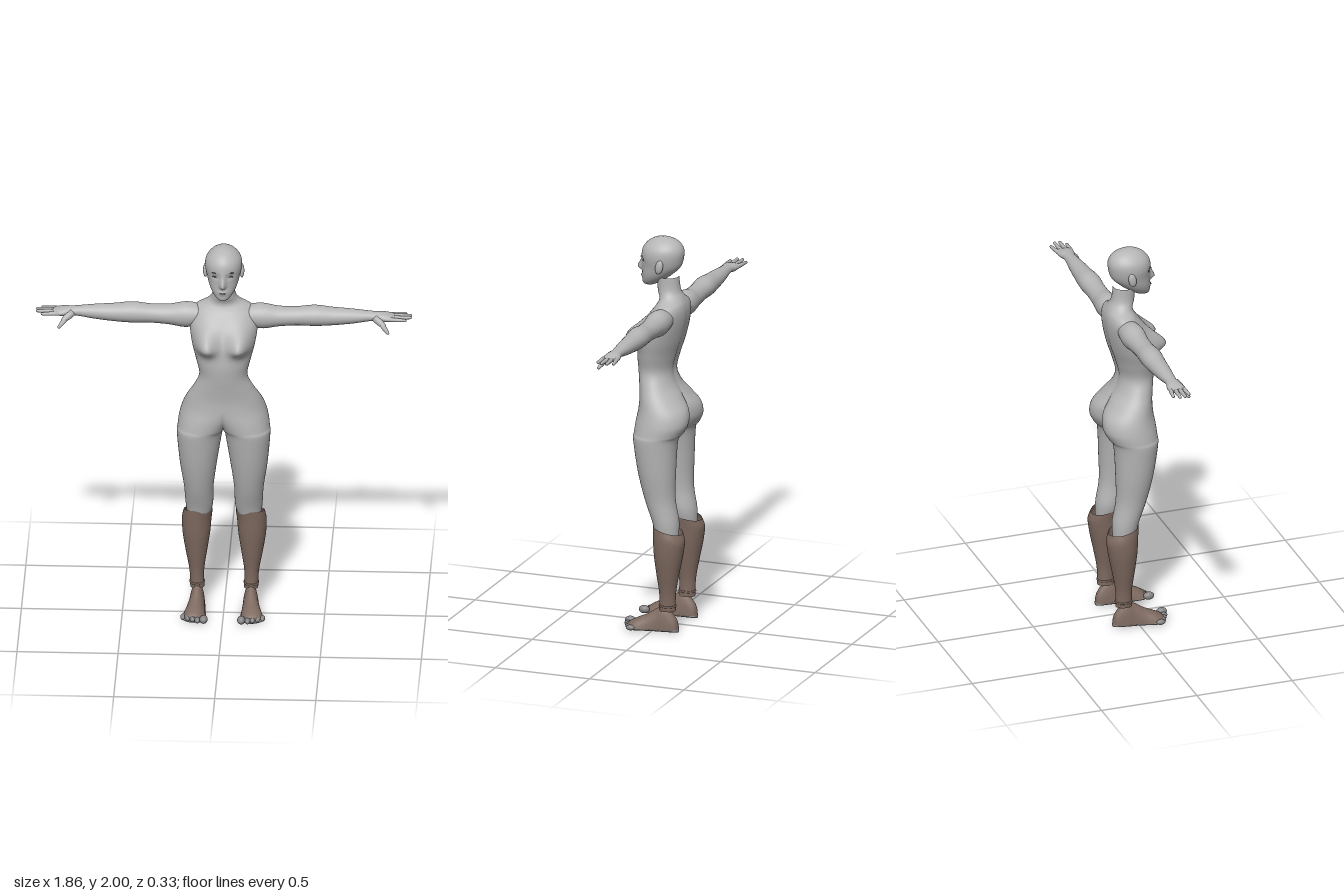
import * as THREE from 'three';
import { mergeGeometries, mergeVertices } from 'three/addons/utils/BufferGeometryUtils.js';

const mat = (name, color) => Object.assign(new THREE.MeshStandardMaterial({ color }), { name });

// Smooth in-between rows for a short list of cross-sections
function refine(rows, n) {
  const out = [];
  for (let i = 0; i < rows.length - 1; i++) {
    const [a, b, c, d] = [rows[Math.max(i - 1, 0)], rows[i], rows[i + 1], rows[Math.min(i + 2, rows.length - 1)]];
    for (let k = 0; k < n; k++) {
      const t = k / n;
      out.push(b.map((v, j) => v + 0.5 * t * (c[j] - a[j] + t * (2 * a[j] - 5 * v + 4 * c[j] - d[j]
        + t * (3 * (v - c[j]) + d[j] - a[j])))));
    }
  }
  out.push(rows[rows.length - 1]);
  return out;
}

// Skin over closed rings of points; walls lying on the middle plane are left out
function skin(rings, capped) {
  const m = rings[0].length, pos = rings.flat(2), index = [];
  const tri = (...t) => { if (t.some(i => Math.abs(pos[i * 3]) > 1e-5)) index.push(...t); };
  for (let i = 0; i < rings.length - 1; i++) {
    for (let j = 0; j < m; j++) {
      const a = i * m + j, b = i * m + (j + 1) % m;
      tri(a, b, b + m);
      tri(a, b + m, a + m);
    }
  }
  if (capped) {
    const last = (rings.length - 1) * m;
    for (let j = 1; j < m - 1; j++) {
      tri(0, j + 1, j);
      tri(last, last + j, last + j + 1);
    }
  }
  const g = new THREE.BufferGeometry();
  g.setAttribute('position', new THREE.Float32BufferAttribute(pos, 3));
  g.setIndex(index);
  g.computeVertexNormals();
  return g;
}

// Half-body loft. Row: y, outer x, inner x, front z, back z,
// front and back apex x, and how full the front and back are at the middle
function halfLoft(rows, n, q) {
  return skin(refine(rows, n).map(([y, xo, xi, zf, zb, cf, cb, kf, kb]) => {
    const ring = [], zm = (zf + zb) / 2;
    const zif = zm + (zf - zm) * THREE.MathUtils.clamp(kf, 0, 1);
    const zib = zm + (zb - zm) * THREE.MathUtils.clamp(kb, 0, 1);
    const add = (apex, side, zApex, zSide, k) => {
      const t = k / q * Math.PI / 2, x = apex + (side - apex) * Math.sin(t);
      ring.push([x < 0.0015 ? 0 : x, y, zSide + (zApex - zSide) * Math.cos(t)]);
    };
    for (let k = 0; k < q; k++) add(cf, xo, zf, zm, k);
    for (let k = q; k > 0; k--) add(cb, xo, zb, zm, k);
    for (let k = 0; k <= q; k++) add(cb, xi, zb, zib, k);
    for (let k = q; k > 0; k--) add(cf, xi, zf, zif, k);
    return ring;
  }), false);
}
const leg = (y, xo, xi, zf, zb) => [y, xo, xi, zf, zb, (xo + xi) / 2, (xo + xi) / 2, 0, 0];
const hip = (y, xo, zf, zb, ...lobes) => [y, xo, 0, zf, zb, ...lobes];
const trunk = (y, xo, zf, zb) => hip(y, xo, zf, zb, 0, 0, 1, 1);

function mirrored(g) {
  const m = g.clone().scale(-1, 1, 1), ix = m.index.array;
  for (let i = 0; i < ix.length; i += 3) [ix[i], ix[i + 1]] = [ix[i + 1], ix[i]];
  return m;
}

// Join a half with its mirror image into one seamless surface
function whole(half) {
  half.deleteAttribute('normal');
  const g = mergeVertices(mergeGeometries([half, mirrored(half)]), 1e-4);
  g.computeVertexNormals();
  return g;
}

// Push the front (side 1) or back (side -1) in or out with a soft round bump
function bump(g, side, cx, cy, sx, up, down, amount) {
  const p = g.attributes.position;
  for (let i = 0; i < p.count; i++) {
    const dx = (p.getX(i) - cx) / sx, dy = p.getY(i) - cy, z = p.getZ(i);
    const w = THREE.MathUtils.clamp(z * side / 0.06, 0, 1);
    p.setZ(i, z + amount * w * Math.exp(-dx * dx - (dy / (dy > 0 ? up : down)) ** 2));
  }
}

const ellipsoid = (x, y, z, rx, ry, rz, tilt = 0) =>
  new THREE.SphereGeometry(1, 20, 14).scale(rx, ry, rz).rotateZ(tilt).translate(x, y, z);

// Tapered round-ended finger between two points
function digit(from, to, r0, r1) {
  const a = new THREE.Vector3(...from), d = new THREE.Vector3(...to).sub(a), len = d.length();
  const pts = [[0, 0], [r0, 0], [r0 * 0.95, len * 0.4], [r1, len - r1], [r1 * 0.7, len - r1 * 0.3], [0, len]];
  const g = new THREE.LatheGeometry(pts.map(p => new THREE.Vector2(...p)), 12);
  const q = new THREE.Quaternion().setFromUnitVectors(new THREE.Vector3(0, 1, 0), d.normalize());
  return g.applyQuaternion(q).translate(a.x, a.y, a.z);
}

// Oval loft. Row: position along the part, centre, two radii
const oval = (rows, place) => skin(refine(rows, 6).map(([t, c, r1, r2]) =>
  Array.from({ length: 32 }, (_, j) => {
    const a = j / 32 * Math.PI * 2;
    return place(t, c + r1 * Math.cos(a), r2 * Math.sin(a));
  })), true);

export function createModel() {
  const model = new THREE.Group();
  model.name = 'figure';
  const grey = mat('body grey', 0xb6b6b6), brown = mat('boot brown', 0x7d695f);
  const soleGrey = mat('sole grey', 0x858585), dark = mat('feature dark grey', 0x555555);
  brown.side = THREE.DoubleSide;
  const add = (name, g, m) => {
    const mesh = new THREE.Mesh(g, m);
    mesh.name = name;
    model.add(mesh);
  };
  const pair = (name, g, m) => {
    add(name + 'Left', g, m);
    add(name + 'Right', mirrored(g), m);
  };

  // Legs, torso and neck in one surface
  const body = halfLoft([
    leg(0.46, 0.175, 0.085, -0.02, -0.125),
    leg(0.56, 0.189, 0.056, 0.005, -0.128),
    leg(0.68, 0.197, 0.051, 0.046, -0.109),
    leg(0.82, 0.217, 0.033, 0.08, -0.11),
    leg(0.98, 0.231, 0.008, 0.105, -0.118),
    hip(1.02, 0.228, 0.107, -0.142, 0.1, 0.11, 0.45, 0.2),
    hip(1.07, 0.221, 0.107, -0.165, 0.07, 0.1, 0.85, 0.45),
    hip(1.13, 0.205, 0.106, -0.158, 0.02, 0.085, 1, 0.65),
    hip(1.19, 0.18, 0.106, -0.115, 0, 0.05, 1, 0.88),
    trunk(1.25, 0.147, 0.112, -0.078),
    trunk(1.32, 0.119, 0.121, -0.062),
    trunk(1.4, 0.135, 0.125, -0.08),
    trunk(1.48, 0.156, 0.112, -0.105),
    trunk(1.56, 0.168, 0.085, -0.122),
    trunk(1.62, 0.165, 0.05, -0.127),
    trunk(1.66, 0.138, 0.022, -0.122),
    trunk(1.69, 0.085, 0.012, -0.11),
    trunk(1.73, 0.058, 0.025, -0.09),
    trunk(1.8, 0.054, 0.03, -0.08),
  ], 6, 16);
  bump(body, 1, 0.085, 1.495, 0.052, 0.075, 0.042, 0.075);
  bump(body, -1, 0, 1.4, 0.022, 0.18, 0.18, 0.009);
  add('body', whole(body), grey);

  // Head with nose, lips and eye sockets
  const head = halfLoft([
    trunk(1.742, 0.001, 0.082, 0.075),
    trunk(1.746, 0.015, 0.096, 0.055),
    trunk(1.756, 0.033, 0.106, 0.03),
    trunk(1.78, 0.053, 0.108, -0.01),
    trunk(1.81, 0.069, 0.107, -0.05),
    trunk(1.85, 0.081, 0.106, -0.09),
    trunk(1.9, 0.091, 0.11, -0.105),
    trunk(1.94, 0.087, 0.102, -0.104),
    trunk(1.972, 0.065, 0.077, -0.083),
    trunk(1.992, 0.035, 0.042, -0.047),
    trunk(2, 0.001, 0.002, -0.002),
  ], 6, 24);
  bump(head, 1, 0, 1.83, 0.014, 0.04, 0.012, 0.03);
  bump(head, 1, 0, 1.793, 0.022, 0.012, 0.012, 0.007);
  bump(head, 1, 0.036, 1.878, 0.02, 0.014, 0.014, -0.008);
  add('head', whole(head), grey);
  pair('ear', ellipsoid(0, 0, 0, 0.012, 0.036, 0.02).rotateX(-0.2).translate(0.09, 1.865, -0.012), grey);
  pair('eyeLine', ellipsoid(0.036, 1.876, 0.0905, 0.017, 0.004, 0.004, 0.1), dark);
  pair('eyebrow', ellipsoid(0.038, 1.899, 0.0985, 0.019, 0.003, 0.003, 0.15), dark);
  add('mouthLine', ellipsoid(0, 1.793, 0.112, 0.016, 0.002, 0.004), dark);

  // Arms and palms
  pair('arm', oval([
    [0.08, 1.61, 0.042, 0.052], [0.18, 1.606, 0.064, 0.061], [0.27, 1.605, 0.051, 0.053],
    [0.36, 1.608, 0.047, 0.05], [0.45, 1.612, 0.052, 0.055], [0.54, 1.61, 0.045, 0.048],
    [0.64, 1.612, 0.036, 0.04], [0.74, 1.615, 0.023, 0.03], [0.79, 1.612, 0.023, 0.04],
    [0.825, 1.611, 0.016, 0.043], [0.845, 1.611, 0.009, 0.037],
  ], (x, y, z) => [x, y, z - 0.043]), grey);

  // Fingers and thumb
  for (let i = 0; i < 4; i++) {
    const spread = i - 1.5, middle = i === 1 || i === 2;
    pair('finger' + (i + 1), digit([0.815, 1.611, -0.042 + spread * 0.021],
      [middle ? 0.93 : 0.905, middle ? 1.614 : 1.61, -0.046 + spread * 0.028], 0.011, 0.0075), grey);
  }
  pair('thumbBase', digit([0.75, 1.612, -0.025], [0.8, 1.577, 0.014], 0.02, 0.013), grey);
  pair('thumb', digit([0.783, 1.588, 0.004], [0.818, 1.548, 0.028], 0.013, 0.008), grey);

  // Boot shafts, cut higher at the front
  const boot = halfLoft([
    leg(0.11, 0.168, 0.098, -0.033, -0.116),
    leg(0.2, 0.172, 0.099, -0.033, -0.118),
    leg(0.3, 0.19, 0.085, -0.02, -0.135),
    leg(0.4, 0.206, 0.07, -0.008, -0.155),
    leg(0.48, 0.209, 0.063, -0.003, -0.163),
    leg(0.53, 0.2, 0.057, 0.001, -0.15),
  ], 6, 16);
  const p = boot.attributes.position;
  for (let i = 0; i < p.count; i++) {
    const lift = Math.max(0, p.getY(i) - 0.44) / 0.09;
    p.setY(i, p.getY(i) + lift * (p.getZ(i) + 0.075) * 0.25);
  }
  boot.computeVertexNormals();
  pair('bootShaft', boot, brown);
  pair('ankleBand', new THREE.TorusGeometry(1, 0.1, 10, 32).rotateX(Math.PI / 2)
    .scale(0.035, 0.05, 0.041).translate(0.134, 0.135, -0.075), brown);

  // Feet with flat soles, and toes
  const foot = [
    [-0.13, 0.128, 0.008, 0.03], [-0.115, 0.129, 0.028, 0.075], [-0.06, 0.132, 0.038, 0.135],
    [-0.02, 0.134, 0.042, 0.115], [0.03, 0.138, 0.05, 0.083], [0.08, 0.143, 0.058, 0.06],
    [0.112, 0.143, 0.056, 0.043], [0.128, 0.14, 0.042, 0.03],
  ];
  pair('foot', oval(foot, (z, x, y) => [x, Math.max(y, 0.012), z]), brown);
  pair('sole', oval(foot.map(([z, x, r]) => [z, x, r + 0.001, 0.011]),
    (z, x, y) => [x, y + 0.011, z]), soleGrey);
  pair('bigToe', ellipsoid(0.093, 0.024, 0.138, 0.02, 0.02, 0.028), soleGrey);
  for (let i = 0; i < 4; i++) {
    pair('toe' + (i + 2), ellipsoid(0.124 + i * 0.024, 0.018, 0.135 - i * 0.012, 0.014, 0.014, 0.023), soleGrey);
  }

  return model;
}
